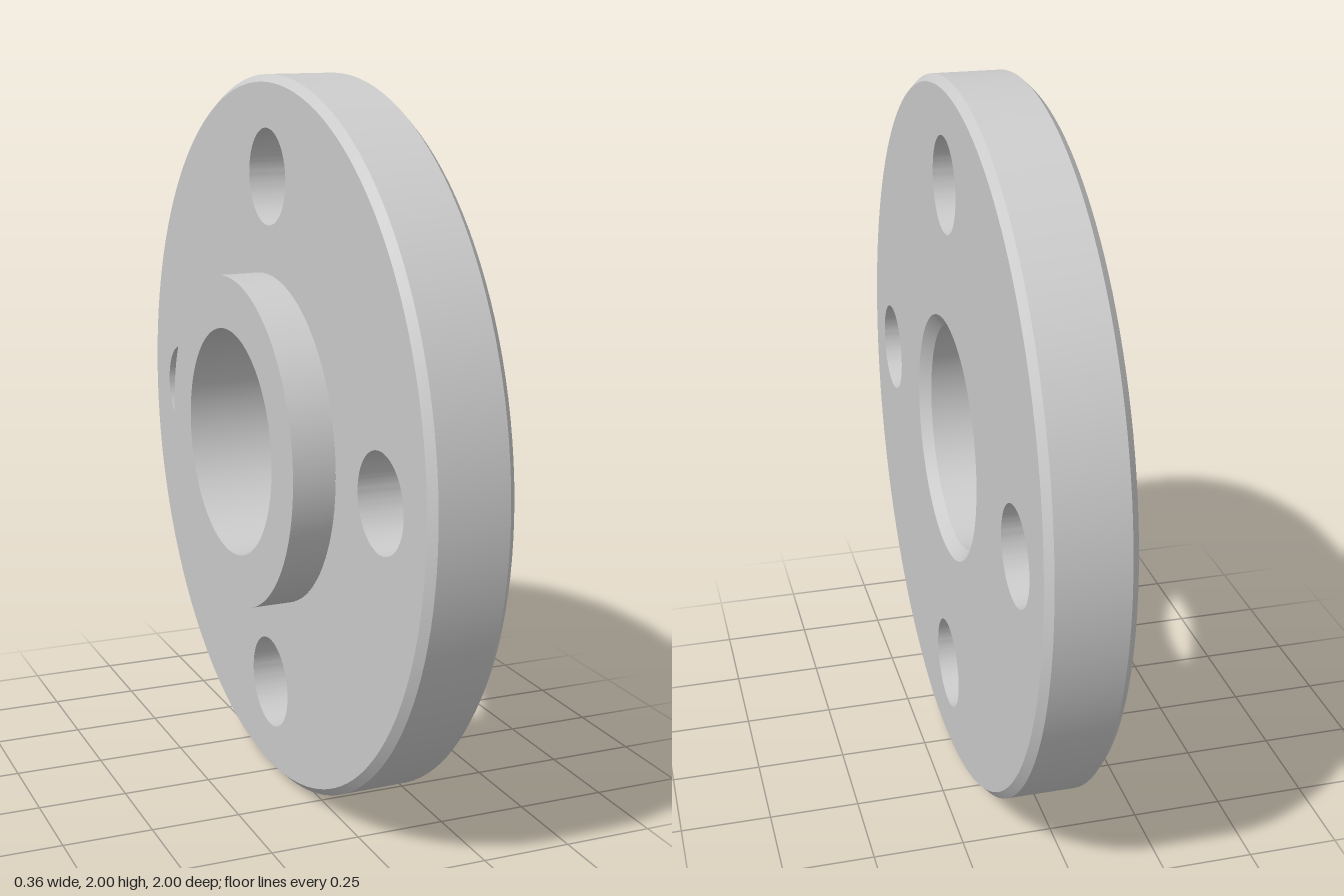
import * as THREE from 'three';
import { toCreasedNormals } from 'three/addons/utils/BufferGeometryUtils.js';

const SEG = 128;
const BACK = -0.06, FRONT = 0.17, HUB_END = -0.179; // stations along the axis
const RIM = 1, CHAMFER = 0.02, HUB = 0.463, BORE = 0.317, BORE_CHAMFER = 0.03;
const HOLE = 0.131, BOLT_CIRCLE = 0.728;

export function createModel() {
  const material = new THREE.MeshStandardMaterial({ color: 0xcccccc });
  const flange = new THREE.Group();
  flange.name = 'flange';

  const add = (name, geometry) => {
    const mesh = new THREE.Mesh(geometry, material);
    mesh.name = name;
    flange.add(mesh);
    return mesh;
  };

  // Surface of revolution about local z, from [radius, z] pairs
  const turned = (profile) => toCreasedNormals(
    new THREE.LatheGeometry(profile.map(([r, z]) => new THREE.Vector2(r, z)), SEG).rotateX(Math.PI / 2), 0.5);

  const boltCentres = [0, 1, 2, 3].map((i) => {
    const a = i * Math.PI / 2;
    return [BOLT_CIRCLE * Math.cos(a), BOLT_CIRCLE * Math.sin(a)];
  });

  // Flat ring pierced by the bolt holes
  const face = (inner) => {
    const shape = new THREE.Shape().absarc(0, 0, RIM - CHAMFER, 0, Math.PI * 2);
    shape.holes.push(new THREE.Path().absarc(0, 0, inner, 0, Math.PI * 2, true));
    for (const [x, y] of boltCentres) {
      shape.holes.push(new THREE.Path().absarc(x, y, HOLE, 0, Math.PI * 2, true));
    }
    return new THREE.ShapeGeometry(shape, SEG);
  };

  add('plateFrontFace', face(BORE + BORE_CHAMFER).translate(0, 0, FRONT));
  add('plateBackFace', face(HUB).rotateX(Math.PI).translate(0, 0, BACK));

  // Outer rim, chamfered on both edges
  add('rim', turned([
    [RIM - CHAMFER, BACK], [RIM, BACK + CHAMFER], [RIM, FRONT - CHAMFER], [RIM - CHAMFER, FRONT],
  ]));

  // Through bore with its chamfer, hub end face and hub wall
  add('hubAndBore', turned([
    [BORE + BORE_CHAMFER, FRONT], [BORE, FRONT - BORE_CHAMFER], [BORE, HUB_END], [HUB, HUB_END], [HUB, BACK],
  ]));

  // Bolt hole walls
  for (const [x, y] of boltCentres) {
    add('boltHole', turned([[HOLE, FRONT], [HOLE, BACK]])).position.set(x, y, 0);
  }

  // Lay the axis along x, with a very slight tilt, and stand the rim on the ground
  flange.rotation.y = Math.PI / 2;
  const tilt = new THREE.Group();
  tilt.name = 'tiltedFlange';
  tilt.add(flange);
  tilt.rotation.set(0.007, 0.007, 0.007);
  tilt.position.y = RIM;

  const model = new THREE.Group();
  model.name = 'pipeFlange';
  model.add(tilt);
  return model;
}
